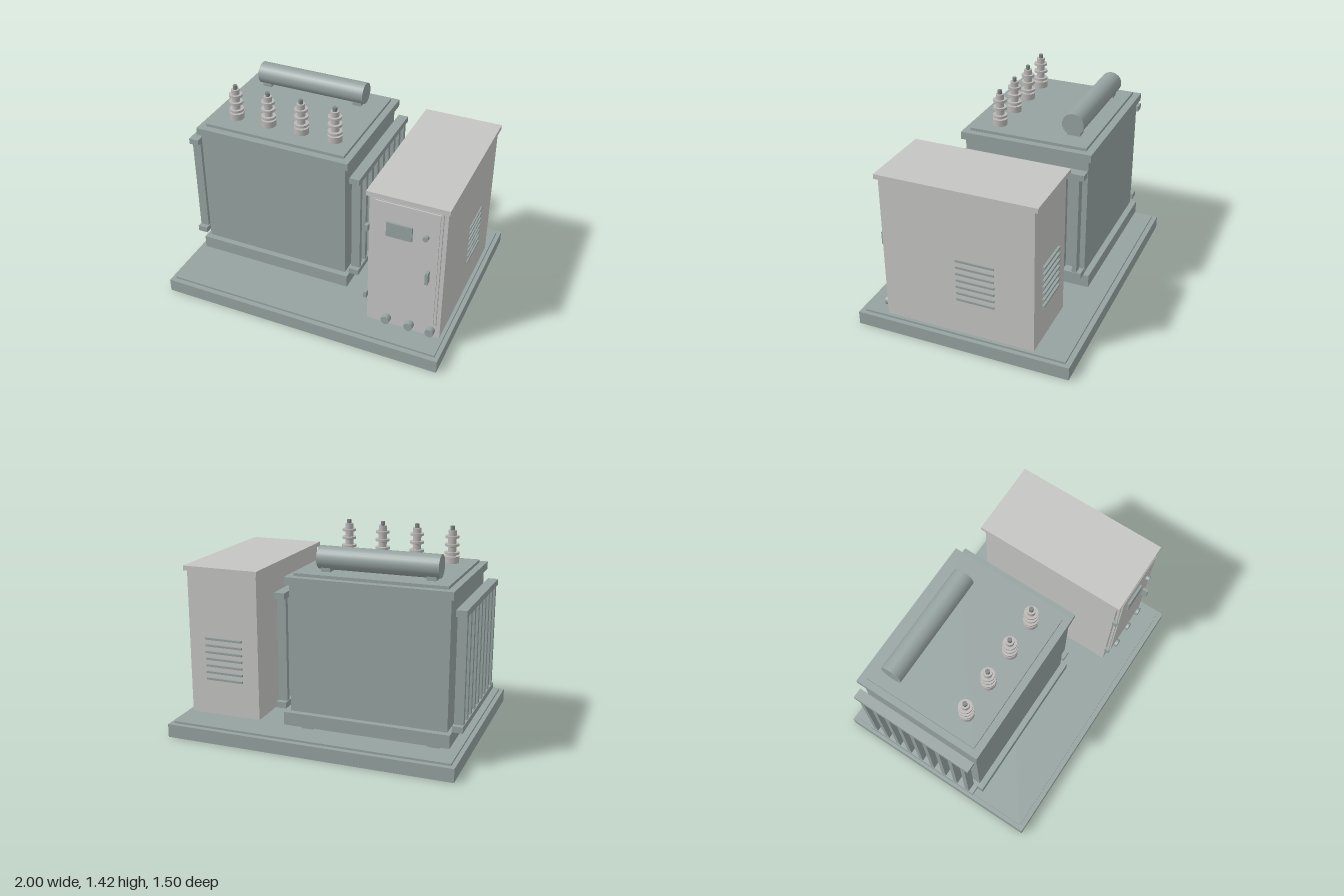
import * as THREE from 'three';

export function createModel() {
  const root = new THREE.Group();
  root.name = 'transformerStation';

  const mat = (name, color, flatShading = false) => {
    const m = new THREE.MeshStandardMaterial({ color, flatShading });
    m.name = name;
    return m;
  };
  const steel = mat('greyGreenSteel', 0x95a2a0);
  const cabinetPaint = mat('lightGreyPaint', 0xc4c5c3);
  const porcelain = mat('warmGreyPorcelain', 0xbab7b5);
  const terminal = mat('darkTerminalMetal', 0x7d8583);

  const group = (name, parent = root) => {
    const g = new THREE.Group();
    g.name = name;
    parent.add(g);
    return g;
  };
  const add = (parent, name, geometry, material) => {
    const mesh = new THREE.Mesh(geometry, material);
    mesh.name = name;
    parent.add(mesh);
    return mesh;
  };
  // Box given by its extents on each axis
  const box = (parent, name, material, x0, x1, y0, y1, z0, z1) => {
    const mesh = add(parent, name, new THREE.BoxGeometry(x1 - x0, y1 - y0, z1 - z0), material);
    mesh.position.set((x0 + x1) / 2, (y0 + y1) / 2, (z0 + z1) / 2);
    return mesh;
  };
  // Short cylinder pointing forwards
  const knob = (parent, name, material, x, y, r, z0, z1) => {
    const g = new THREE.CylinderGeometry(r, r, z1 - z0, 20).rotateX(Math.PI / 2);
    add(parent, name, g, material).position.set(x, y, (z0 + z1) / 2);
  };

  // Plinth
  const base = group('base');
  box(base, 'plinth', steel, -1, 1, 0, 0.093, -0.75, 0.75);
  box(base, 'deckPlate', steel, -0.97, 0.97, 0.093, 0.107, -0.715, 0.715);

  // Tank with skids, flange and lid
  const tank = group('tank');
  box(tank, 'skid', steel, -0.84, -0.765, 0.107, 0.147, -0.52, 0.295);
  box(tank, 'skid', steel, 0.03, 0.107, 0.107, 0.147, -0.52, 0.295);
  box(tank, 'bottomFlange', steel, -0.925, 0.203, 0.147, 0.237, -0.592, 0.366);
  box(tank, 'tankBody', steel, -0.898, 0.171, 0.237, 1.098, -0.55, 0.325);
  box(tank, 'lidFlange', steel, -0.918, 0.197, 1.098, 1.15, -0.575, 0.35);
  box(tank, 'coverPlate', steel, -0.872, 0.15, 1.15, 1.17, -0.525, 0.3);

  // Cooling radiators on both sides
  for (const x0 of [-0.998, 0.203]) {
    const radiator = group('radiator', tank);
    const x1 = x0 + 0.07;
    box(radiator, 'topHeader', steel, x0, x1, 0.995, 1.037, -0.558, 0.332);
    box(radiator, 'bottomHeader', steel, x0, x1, 0.247, 0.289, -0.558, 0.332);
    for (let i = 0; i < 9; i++) {
      const z = -0.509 + i * 0.099;
      box(radiator, 'fin', steel, x0 + 0.004, x1 - 0.004, 0.289, 0.995, z - 0.016, z + 0.016);
    }
  }

  // Oil conservator drum on two brackets
  const conservator = group('conservator');
  const drum = add(conservator, 'drum',
    new THREE.CylinderGeometry(0.076, 0.076, 0.808, 24).rotateZ(Math.PI / 2), steel);
  drum.position.set(-0.384, 1.257, -0.382);
  for (const x of [-0.735, -0.033])
    box(conservator, 'bracket', steel, x - 0.032, x + 0.032, 1.17, 1.205, -0.427, -0.337);

  // High voltage bushings, heights measured from the cover plate
  const profile = [[0, 0], [0.05, 0], [0.05, 0.045], [0.028, 0.045], [0.028, 0.058]];
  for (const [y, r] of [[0.058, 0.05], [0.114, 0.048], [0.168, 0.046]])
    profile.push([r, y], [r, y + 0.016], [0.028, y + 0.016], [0.028, y + 0.05]);
  profile.push([0.028, 0.22], [0, 0.22]);
  // Each segment gets its own rows so the rims stay crisp
  const addLathe = (parent) => {
    for (let i = 0; i + 1 < profile.length; i++) {
      const pts = [profile[i], profile[i + 1]].map(([r, y]) => new THREE.Vector2(r, y));
      if (pts[0].distanceTo(pts[1]) > 1e-4)
        add(parent, 'insulator', new THREE.LatheGeometry(pts, 20), porcelain);
    }
  };
  for (let i = 0; i < 4; i++) {
    const bushing = group('bushing');
    bushing.position.set(-0.717 + i * 0.2447, 1.17, 0.14);
    addLathe(bushing);
    add(bushing, 'terminal', new THREE.CylinderGeometry(0.015, 0.015, 0.03, 12), terminal)
      .position.y = 0.233;
  }

  // Control cabinet
  const cabinet = group('controlCabinet');
  box(cabinet, 'cabinetBody', cabinetPaint, 0.433, 0.946, 0.107, 1.12, -0.495, 0.55);
  box(cabinet, 'roof', cabinetPaint, 0.418, 0.961, 1.12, 1.153, -0.52, 0.573);
  box(cabinet, 'doorFrame', cabinetPaint, 0.465, 0.92, 0.213, 1.113, 0.55, 0.566);
  box(cabinet, 'door', cabinetPaint, 0.482, 0.904, 0.218, 1.106, 0.566, 0.575);
  box(cabinet, 'displayPanel', steel, 0.562, 0.733, 0.865, 0.97, 0.575, 0.59);
  knob(cabinet, 'lockKnob', steel, 0.823, 0.922, 0.018, 0.575, 0.602);
  box(cabinet, 'doorHandle', steel, 0.839, 0.859, 0.582, 0.671, 0.575, 0.614);
  for (const y of [0.328, 0.877])
    box(cabinet, 'hinge', steel, 0.417, 0.438, y - 0.023, y + 0.023, 0.55, 0.584);
  for (const x of [0.577, 0.738, 0.885])
    knob(cabinet, 'cableGland', steel, x, 0.162, 0.03, 0.55, 0.593);

  // Louvres on the outer side and the back
  for (let i = 0; i < 7; i++) {
    const y = 0.366 + i * 0.048;
    box(cabinet, 'sideLouvre', steel, 0.94, 0.957, y - 0.007, y + 0.007, -0.228, 0.034);
    box(cabinet, 'backLouvre', steel, 0.55, 0.82, y - 0.007, y + 0.007, -0.512, -0.49);
  }
  return root;
}
